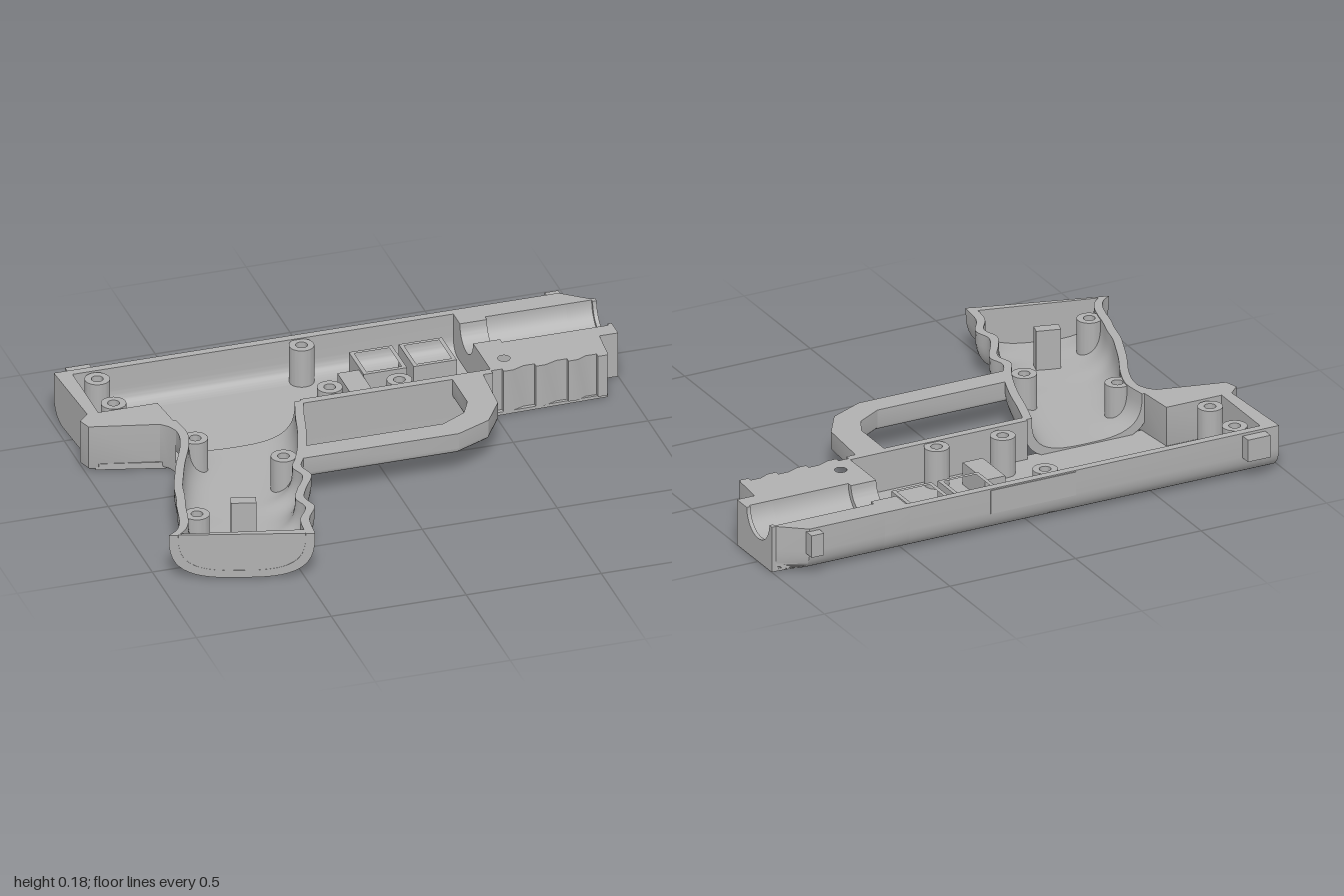
import * as THREE from 'three';
import { toCreasedNormals } from 'three/addons/utils/BufferGeometryUtils.js';

const TOP = 0.175;

export function createModel() {
  const root = new THREE.Group();
  root.name = 'toyHousingHalf';
  const grey = new THREE.MeshStandardMaterial({ color: 0xb0b0b0 });
  grey.name = 'plastic grey';

  const add = (name, geo, crease = 0.5) => {
    const m = new THREE.Mesh(toCreasedNormals(geo, crease), grey);
    m.name = name;
    root.add(m);
    return m;
  };
  const box = (name, x0, x1, y0, y1, z0, z1) => {
    const m = add(name, new THREE.BoxGeometry(x1 - x0, y1 - y0, z1 - z0));
    m.position.set((x0 + x1) / 2, (y0 + y1) / 2, (z0 + z1) / 2);
    return m;
  };
  const poly = (pts) => new THREE.Shape(pts.map(([x, z]) => new THREE.Vector2(x, -z)));
  const circle = (x, z, r) => new THREE.Path().absarc(x, -z, r, 0, Math.PI * 2, true);
  const rect = (x0, x1, z0, z1) =>
    new THREE.Path([[x0, z0], [x1, z0], [x1, z1], [x0, z1]].map(([x, z]) => new THREE.Vector2(x, -z)));

  // Plan outline (x, z) raised from y0 to y1
  const plan = (name, shape, y0, y1, bevel = 0) => {
    const g = new THREE.ExtrudeGeometry(shape, {
      depth: y1 - y0 - bevel, curveSegments: 20, bevelEnabled: bevel > 0,
      bevelSize: bevel, bevelThickness: bevel, bevelOffset: -bevel, bevelSegments: 3,
    });
    g.rotateX(-Math.PI / 2);
    g.translate(0, y0 + bevel, 0);
    // only the underside edge stays rounded
    if (bevel) {
      const p = g.attributes.position;
      for (let i = 0; i < p.count; i++) p.setY(i, Math.min(p.getY(i), y1));
    }
    return add(name, g);
  };
  // Profile (-z, y) swept from x0 to x1
  const sweep = (name, shape, x0, x1, rule) => {
    const g = new THREE.ExtrudeGeometry(shape, { depth: x1 - x0, bevelEnabled: false, curveSegments: 16 });
    g.rotateY(Math.PI / 2);
    g.translate(x0, 0, 0);
    if (rule) {
      const p = g.attributes.position;
      for (let i = 0; i < p.count; i++) {
        const [x, z] = rule(p.getX(i), p.getZ(i));
        p.setX(i, x);
        p.setZ(i, z);
      }
    }
    return add(name, g);
  };

  // Floor: two layers, the lower one cut with grip slots
  const screws = [[-0.845, -0.6], [-0.845, -0.415], [-0.085, -0.59], [-0.085, -0.29], [0.165, -0.265]];
  const lenses = [[0.165, -0.51], [0.35, -0.51]];
  const bores = (s, r) => {
    screws.forEach(([x, z]) => z > -0.575 && s.holes.push(circle(x, z, r)));
    lenses.forEach(([x, z]) => s.holes.push(circle(x, z, 0.052)));
    return s;
  };
  const lower = bores(poly([[-0.97, -0.595], [0.89, -0.595], [0.89, -0.34], [0.92, -0.34],
    [0.92, -0.21], [0.49, -0.2], [-0.72, -0.2], [-0.96, -0.265]]), 0.03);
  for (let i = 0; i < 6; i++) {
    for (const x of [0.6, -0.79]) lower.holes.push(rect(x + i * 0.035, x + i * 0.035 + 0.015, -0.42, -0.3));
  }
  lower.holes.push(circle(0.56, -0.265, 0.022));
  plan('lowerFloor', lower, 0, 0.012);
  plan('upperFloor', bores(poly([[-0.95, -0.595], [0.49, -0.595], [0.49, -0.2], [-0.72, -0.2], [-0.95, -0.26]]), 0.02), 0.012, 0.025);

  // Long rounded wall
  const wall = new THREE.Shape();
  wall.moveTo(0.68, TOP);
  wall.lineTo(0.68, 0.085);
  wall.quadraticCurveTo(0.675, 0.005, 0.595, 0);
  wall.lineTo(0.595, 0.025);
  wall.quadraticCurveTo(0.648, 0.028, 0.65, 0.085);
  wall.lineTo(0.65, TOP);
  sweep('longWall', wall, -0.92, 0.49);

  // Solid profile for the rear wall and the barrel block, optional half bore
  const block = (r, base) => {
    const s = new THREE.Shape();
    s.moveTo(0.68, TOP);
    s.lineTo(0.68, 0.085);
    s.quadraticCurveTo(0.675, 0.005, 0.595, 0);
    s.lineTo(0.595, base);
    s.lineTo(0.34, base);
    s.lineTo(0.34, TOP);
    if (r) {
      s.lineTo(0.5 - r, TOP);
      s.absarc(0.5, TOP, r, Math.PI, Math.PI * 2, false);
    }
    return s;
  };
  sweep('rearWall', block(0, 0), -0.98, -0.92, (x, z) => [x < -0.95 ? x + (z + 0.68) * 0.06 : x, z]);
  sweep('barrelNeck', block(0.075, 0.012), 0.49, 0.59);
  sweep('barrelBlock', block(0.096, 0.012), 0.59, 0.89);
  sweep('barrelNose', block(0.096, 0), 0.89, 0.985, (x, z) => [x, x > 0.95 ? Math.max(z, -0.605) : z]);
  sweep('muzzleLip', block(0.085, 0), 0.985, 1, (x, z) => [x, Math.max(z, -0.605)]);

  // Ribbed rail under the barrel
  const edge = [[0.49, -0.34], [0.93, -0.34], [0.92, -0.215]];
  for (const x of [0.88, 0.77, 0.65, 0.53]) {
    edge.push([x + 0.035, -0.2], [x, -0.2], [x, -0.218], [x - 0.04, -0.218]);
  }
  edge.push([0.49, -0.2]);
  const rail = poly(edge);
  rail.holes.push(circle(0.56, -0.29, 0.022));
  plan('ribbedRail', rail, 0.012, TOP);

  // Side wall above the trigger opening and rear spur
  box('lowerWall', -0.215, 0.49, 0.02, TOP, -0.23, -0.2);
  plan('rearSpur', poly([[-0.96, -0.36], [-0.7, -0.36], [-0.685, -0.2], [-0.7, -0.15], [-0.715, -0.185],
    [-0.74, -0.21], [-0.985, -0.27], [-1, -0.32]]), 0, TOP, 0.015);

  // Trigger guard
  plan('triggerGuard', poly([[-0.345, 0.18], [0.24, 0.18], [0.37, 0.12], [0.44, 0.01], [0.455, -0.21],
    [0.34, -0.21], [0.34, -0.03], [0.305, 0.04], [0.21, 0.095], [-0.32, 0.095]]), 0.095, TOP, 0.02);

  // Grip: U sections lofted between a back curve and a front curve
  const curve = (pts) => new THREE.CatmullRomCurve3(pts.map(([x, z]) => new THREE.Vector3(x, 0, z)));
  const back = curve([[-0.71, -0.22], [-0.7, -0.12], [-0.725, -0.03], [-0.775, 0.08], [-0.81, 0.17], [-0.835, 0.24],
    [-0.85, 0.31], [-0.87, 0.38], [-0.885, 0.45], [-0.9, 0.5], [-0.925, 0.54], [-0.96, 0.565]]);
  const front = curve([[-0.205, -0.22], [-0.235, -0.12], [-0.26, -0.02], [-0.295, 0.09], [-0.33, 0.17], [-0.36, 0.23],
    [-0.345, 0.3], [-0.395, 0.39], [-0.42, 0.45], [-0.405, 0.52], [-0.45, 0.6], [-0.465, 0.71]]);
  const loft = (name, t0, t1, steps, insetOut, insetIn, depthIn) => {
    const n = 25, pos = [], idx = [];
    for (let i = 0; i <= steps; i++) {
      const t = t0 + (t1 - t0) * i / steps;
      const b = back.getPoint(t), f = front.getPoint(t), w = b.distanceTo(f);
      const arc = (inset, depth, j) => {
        const a = Math.PI * j / (n - 1), c = Math.cos(a);
        const k = 0.5 - 0.5 * Math.sign(c) * Math.abs(c) ** 0.65 * (1 - 2 * inset / w);
        pos.push(b.x + (f.x - b.x) * k, TOP - depth * Math.max(0, Math.sin(a)) ** 0.65, b.z + (f.z - b.z) * k);
      };
      for (let j = 0; j < n; j++) arc(insetOut, TOP - 0.001 - insetOut / 2, j);
      for (let j = n - 1; j >= 0; j--) arc(insetIn, depthIn, j);
    }
    const m = 2 * n, last = steps * m;
    for (let i = 0; i < steps; i++) {
      for (let j = 0; j < m; j++) {
        const a = i * m + j, b = i * m + (j + 1) % m;
        idx.push(a, b, a + m, b, b + m, a + m);
      }
    }
    for (let j = 0; j < n - 1; j++) {
      const p = m - 1 - j, q = p - 1;
      idx.push(j, p, j + 1, j + 1, p, q);
      idx.push(last + j, last + j + 1, last + p, last + j + 1, last + q, last + p);
    }
    const g = new THREE.BufferGeometry();
    g.setAttribute('position', new THREE.Float32BufferAttribute(pos, 3));
    g.setIndex(idx);
    g.computeVertexNormals();
    return add(name, g, 0.6);
  };
  loft('gripShell', 0, 1, 48, 0, 0.033, 0.145);
  loft('gripEndWall', 0.975, 0.999, 2, 0.004, 0.004, 0);

  // Screw posts
  const post = (x, z, y0) => {
    const s = new THREE.Shape().absarc(x, -z, 0.045, 0, Math.PI * 2, false);
    s.holes.push(circle(x, z, 0.021));
    plan('screwPost', s, y0, TOP - 0.004);
  };
  screws.forEach(([x, z]) => post(x, z === -0.59 ? -0.61 : z, 0.02));
  [[-0.65, -0.085], [-0.815, 0.44], [-0.395, 0.135]].forEach(([x, z]) => post(x, z, 0.03));

  // Square lens frames and switch seat
  for (const [x, z] of lenses) {
    const s = poly([[x - 0.08, z - 0.085], [x + 0.08, z - 0.085], [x + 0.08, z + 0.085], [x - 0.08, z + 0.085]]);
    s.holes.push(rect(x - 0.065, x + 0.065, z - 0.07, z + 0.07));
    plan('lensFrame', s, 0.02, 0.12);
  }
  box('switchSeat', 0.005, 0.085, 0.02, 0.11, -0.48, -0.31);

  // Grip peg, sights and side panel
  box('gripPeg', -0.68, -0.59, 0.02, 0.182, 0.393, 0.437).rotation.y = -0.27;
  box('rearSight', -0.925, -0.835, 0.08, 0.165, -0.72, -0.67);
  box('frontSight', 0.85, 0.9, 0.08, 0.165, -0.715, -0.66);
  box('sidePanel', -0.17, 0.17, 0.08, 0.17, -0.683, -0.675);

  return root;
}
